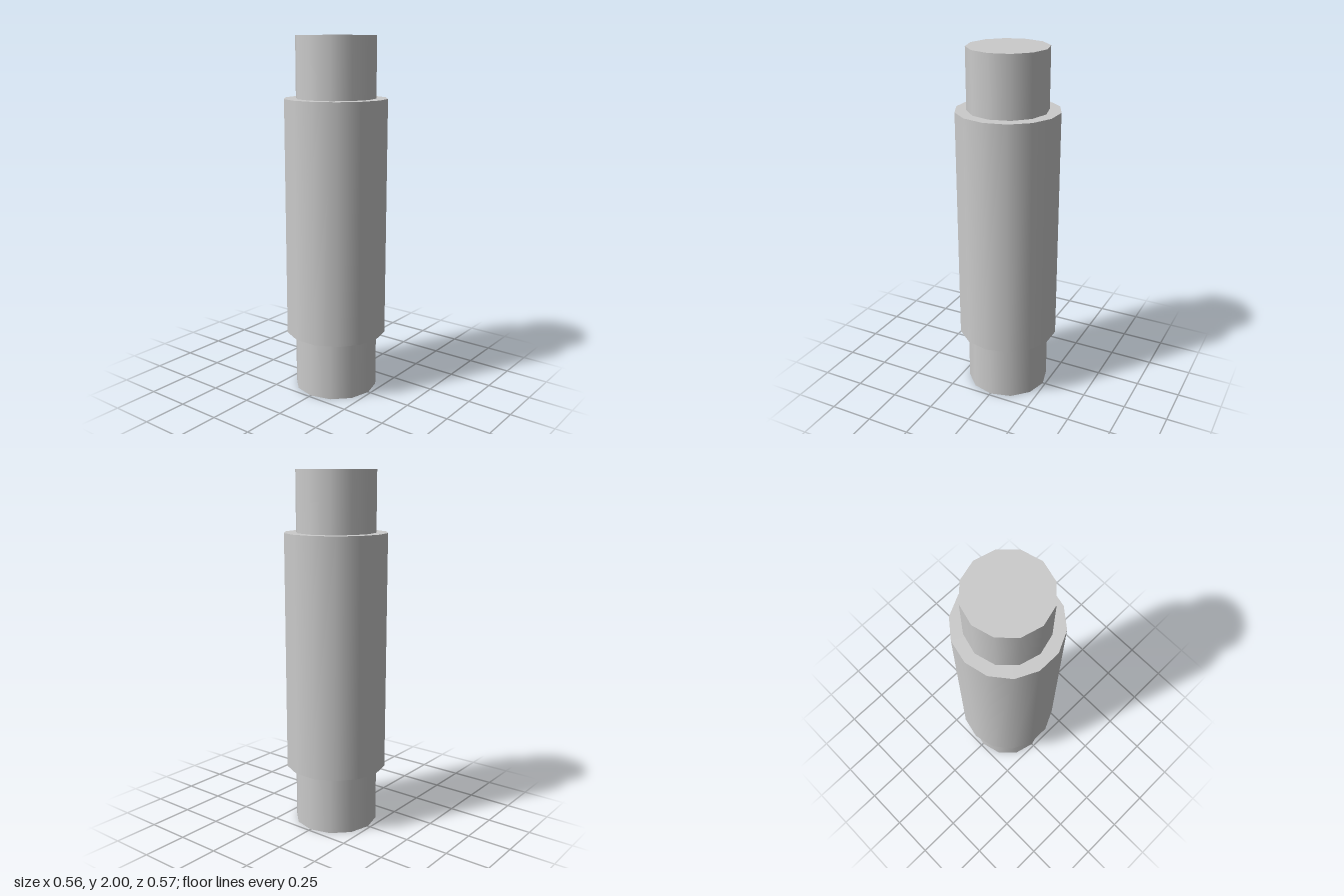
import * as THREE from 'three';

export function createModel() {
  const group = new THREE.Group();
  const material = new THREE.MeshStandardMaterial({ color: 0xcccccc });

  // Capped, smooth-sided cylinder spanning bottom..top
  function addCylinder(name, radius, bottom, top, sides) {
    const geometry = new THREE.CylinderGeometry(radius, radius, top - bottom, sides);
    const mesh = new THREE.Mesh(geometry, material);
    mesh.name = name;
    mesh.position.y = (bottom + top) / 2;
    group.add(mesh);
  }

  addCylinder('lowerShaft', 0.235, 0, 0.338, 12);
  addCylinder('mainBody', 0.286, 0.338, 1.667, 14);
  addCylinder('upperShaft', 0.221, 1.667, 2, 12);

  return group;
}
